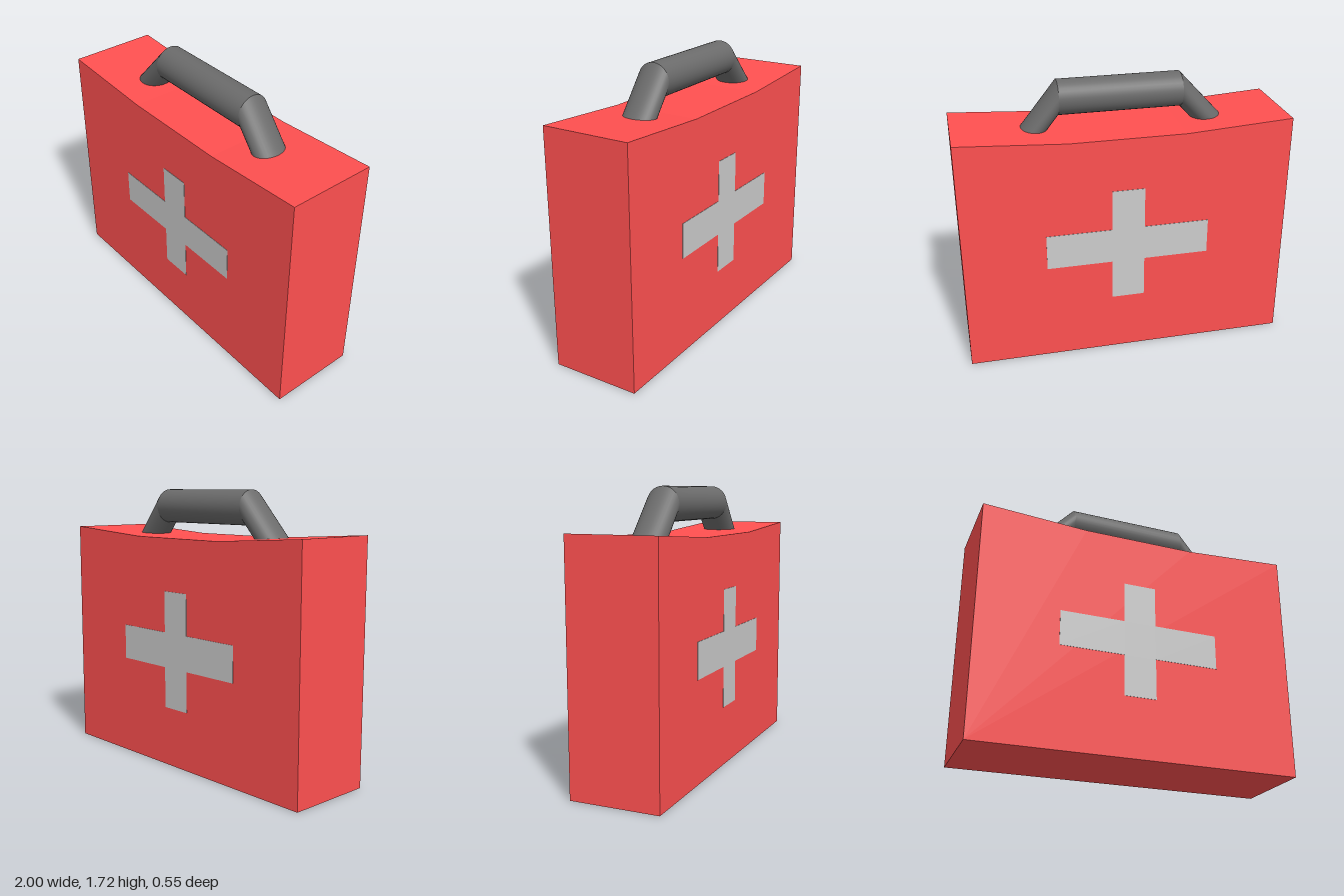
import * as THREE from 'three';
import { mergeVertices } from 'three/addons/utils/BufferGeometryUtils.js';

const red = new THREE.MeshStandardMaterial({ color: 0xff5050 });
const grey = new THREE.MeshStandardMaterial({ color: 0xcccccc });
const dark = new THREE.MeshStandardMaterial({ color: 0x6b6b6b });

function named(name, geometry, material) {
  const mesh = new THREE.Mesh(geometry, material);
  mesh.name = name;
  return mesh;
}

// Extrudes an outline along z, centred on z = 0
function slab(points, depth) {
  const shape = new THREE.Shape(points.map(([x, y]) => new THREE.Vector2(x, y)));
  const geometry = new THREE.ExtrudeGeometry(shape, { depth, bevelEnabled: false });
  return geometry.translate(0, 0, -depth / 2);
}

// Round bar whose ends are cut vertically: a cylinder along x, sheared in y
function shearedBar([x0, y0], [x1, y1], radius) {
  const length = x1 - x0;
  const geometry = new THREE.CylinderGeometry(radius, radius, length, 32, 1, true);
  geometry.rotateZ(-Math.PI / 2);
  const pos = geometry.attributes.position;
  for (let i = 0; i < pos.count; i++) {
    const t = pos.getX(i) / length + 0.5;
    pos.setY(i, pos.getY(i) + y0 + (y1 - y0) * t);
  }
  geometry.translate((x0 + x1) / 2, 0, 0);
  geometry.deleteAttribute('uv');
  geometry.deleteAttribute('normal');
  const smooth = mergeVertices(geometry, 1e-4);
  smooth.computeVertexNormals();
  return smooth;
}

export function createModel() {
  const model = new THREE.Group();
  model.name = 'firstAidCase';

  // Case with a shallow dip along the top
  const outline = [[-1, 0], [1, 0], [1, 1.465], [0.35, 1.425], [-0.35, 1.425], [-1, 1.465]];
  model.add(named('caseBody', slab(outline, 0.55), red));

  // Thin cross on the front and the back
  const w = 0.1, a = 0.5, y0 = 0.37, y1 = 0.625, y2 = 0.845, y3 = 1.1;
  const cross = [
    [-w, y0], [w, y0], [w, y1], [a, y1], [a, y2], [w, y2],
    [w, y3], [-w, y3], [-w, y2], [-a, y2], [-a, y1], [-w, y1],
  ];
  for (const side of [1, -1]) {
    const mesh = named(side > 0 ? 'frontCross' : 'backCross', slab(cross, 0.004), grey);
    mesh.position.z = side * 0.275;
    model.add(mesh);
  }

  // Handle: a grip and two sloping legs that run into the case
  const handle = new THREE.Group();
  handle.name = 'handle';
  const path = [[-0.66, 1.297], [-0.37, 1.61], [0.37, 1.61], [0.62, 1.297]];
  ['rightLeg', 'grip', 'leftLeg'].forEach((name, i) => {
    handle.add(named(name, shearedBar(path[i], path[i + 1], 0.105), dark));
  });
  model.add(handle);

  return model;
}
